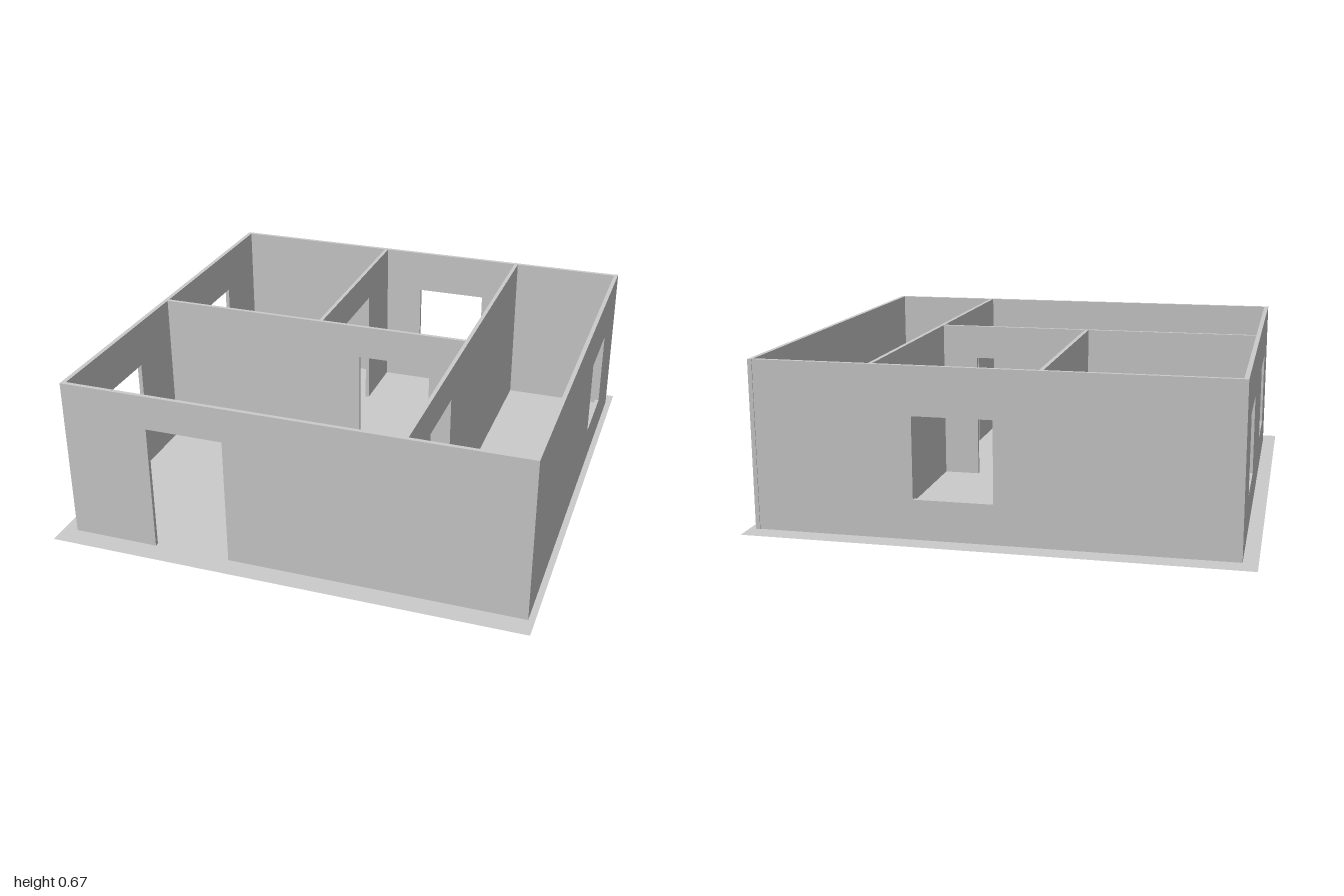
import * as THREE from 'three';

const TOP = 0.67, BASE = 0.003, DOOR_TOP = 0.53, SILL = 0.16, LINTEL = 0.48;

export function createModel() {
  const house = new THREE.Group();
  house.name = 'floorPlanHouse';
  const material = new THREE.MeshStandardMaterial({ color: 0xcccccc });

  // A wall running along x or z from start to end, between faces near and far.
  // Doors cut a notch up from the ground, windows cut a hole; both are [from, to] spans.
  function addWall(name, axis, start, end, near, far, { doors = [], windows = [], base = BASE } = {}) {
    const shape = new THREE.Shape();
    shape.moveTo(start, base);
    for (const [a, b] of doors) {
      shape.lineTo(a, base);
      shape.lineTo(a, DOOR_TOP);
      shape.lineTo(b, DOOR_TOP);
      shape.lineTo(b, base);
    }
    shape.lineTo(end, base);
    shape.lineTo(end, TOP);
    shape.lineTo(start, TOP);
    shape.closePath();
    for (const [a, b] of windows) {
      const hole = new THREE.Path();
      hole.moveTo(a, SILL);
      hole.lineTo(a, LINTEL);
      hole.lineTo(b, LINTEL);
      hole.lineTo(b, SILL);
      hole.closePath();
      shape.holes.push(hole);
    }
    const geometry = new THREE.ExtrudeGeometry(shape, { depth: far - near, bevelEnabled: false });
    if (axis === 'z') geometry.rotateY(-Math.PI / 2).translate(far, 0, 0);
    else geometry.translate(0, 0, near);
    const wall = new THREE.Mesh(geometry, material);
    wall.name = name;
    house.add(wall);
  }

  // Ground slab, a single thin sheet
  const floorMaterial = material.clone();
  floorMaterial.side = THREE.DoubleSide;
  const floor = new THREE.Mesh(new THREE.PlaneGeometry(1.945, 2).rotateX(-Math.PI / 2), floorMaterial);
  floor.position.y = BASE;
  floor.name = 'floor';
  house.add(floor);

  // Outer walls
  addWall('frontWall', 'x', -0.915, 0.93, 0.895, 0.912, { doors: [[-0.56, -0.245]] });
  addWall('backWall', 'x', -0.915, 0.93, -0.917, -0.9, { windows: [[0, 0.31]] });
  addWall('leftWall', 'z', -0.92, 0.912, 0.93, 0.947, { windows: [[-0.62, -0.305]] });
  addWall('rightWall', 'z', -0.9, 0.895, -0.915, -0.897, { windows: [[-0.6, -0.285], [0.315, 0.63]] });

  // Partitions between the rooms
  addWall('hallPartition', 'z', -0.9, 0.895, 0.46, 0.476, { doors: [[0.3, 0.6]] });
  addWall('crossPartition', 'x', -0.897, 0.46, 0.02, 0.036, { doors: [[0, 0.31]], base: 0 });
  addWall('bedroomPartition', 'z', -0.9, 0.02, -0.186, -0.17, { doors: [[-0.605, -0.29]] });

  return house;
}
